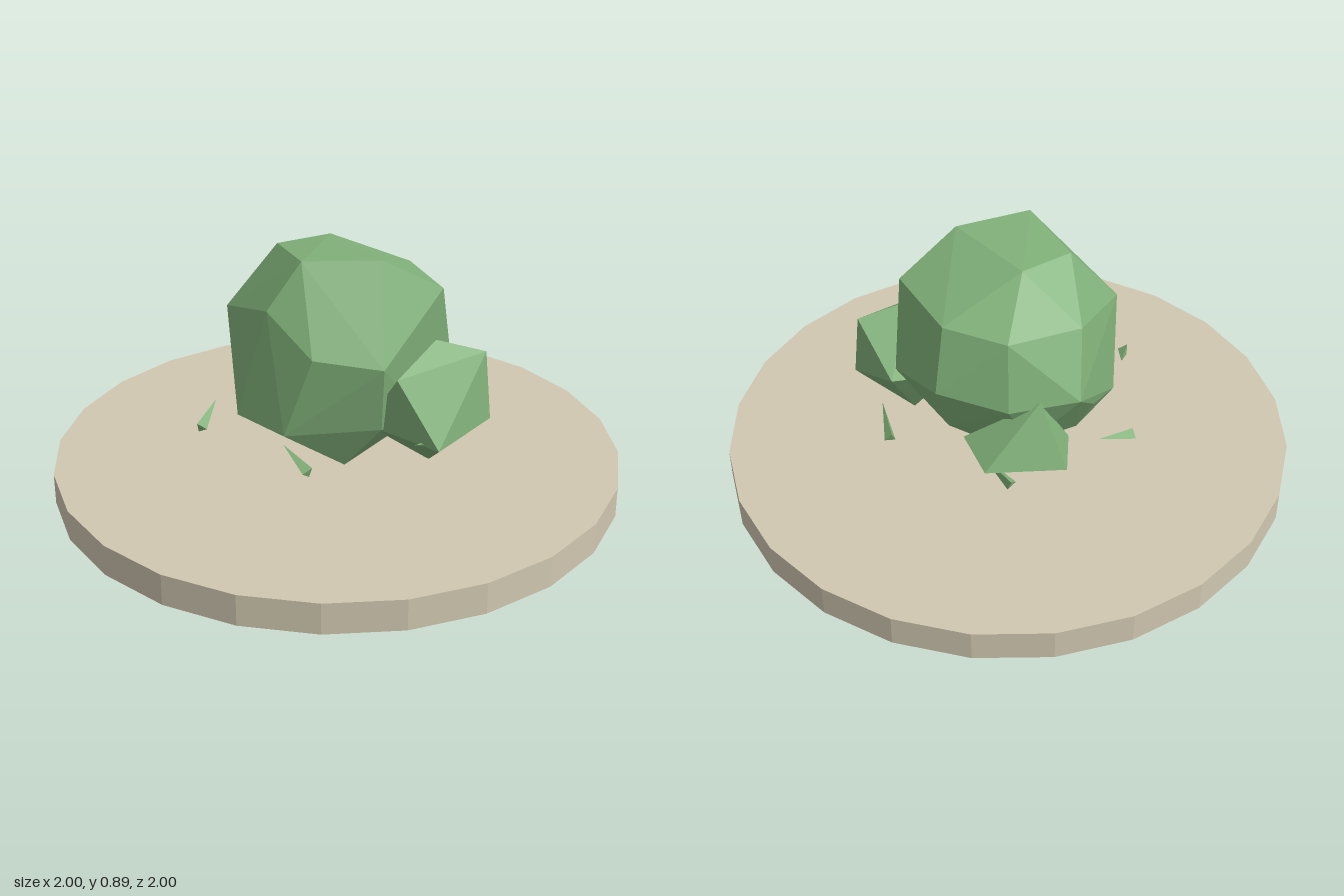
import * as THREE from 'three';
import { ConvexGeometry } from 'three/addons/geometries/ConvexGeometry.js';

const V = (p) => new THREE.Vector3(...p);

export function createModel() {
  const group = new THREE.Group();
  const stone = new THREE.MeshStandardMaterial({ color: 0xd0c7b0, flatShading: true });
  stone.name = 'paleStone';
  const leaf = new THREE.MeshStandardMaterial({ color: 0x80b079, flatShading: true });
  leaf.name = 'leafGreen';

  const add = (name, geometry, material) => {
    const mesh = new THREE.Mesh(geometry, material);
    mesh.name = name;
    group.add(mesh);
    return mesh;
  };
  // faceted lump wrapped around a few corner points
  const lump = (name, points) => add(name, new ConvexGeometry(points.map(V)), leaf);

  // round base slab
  add('base', new THREE.CylinderGeometry(1, 1, 0.11, 24), stone).position.y = 0.055;

  // large central bush
  lump('mainBush', [
    // crown
    [0.07, 0.89, 0.22], [0.22, 0.88, 0], [-0.17, 0.865, 0.12], [-0.11, 0.87, -0.07],
    // upper ring
    [0.02, 0.73, 0.33], [-0.265, 0.65, 0.27], [-0.33, 0.72, -0.04], [-0.2, 0.73, -0.27],
    [0.02, 0.74, -0.33], [0.3, 0.75, -0.21], [0.2, 0.6, 0.29],
    // waist
    [0.35, 0.56, 0.11], [-0.4, 0.51, -0.14], [-0.24, 0.5, -0.32], [0, 0.52, -0.4],
    [0.25, 0.45, -0.31],
    // lower ring
    [-0.09, 0.33, 0.375], [0.11, 0.31, 0.34], [-0.32, 0.315, 0.19], [-0.35, 0.37, 0.02],
    [0.31, 0.32, 0.08], [0.28, 0.3, -0.15], [0.03, 0.3, -0.3], [-0.24, 0.3, -0.2],
    // underside
    [-0.23, 0.155, 0.1], [0.18, 0.155, 0.13], [0, 0.145, 0], [0.12, 0.16, -0.14], [-0.1, 0.16, -0.15],
  ]);

  // smaller bush on the left
  lump('sideBush', [
    [0.45, 0.55, -0.27], [0.37, 0.52, 0.07], [0.51, 0.29, 0.01], [0.48, 0.31, -0.27],
    [0.32, 0.135, -0.14], [0.34, 0.595, -0.14], [0.24, 0.32, 0.09], [0.24, 0.42, -0.345],
    [0.16, 0.35, -0.13],
  ]);

  // smallest bush at the back right
  lump('backBush', [
    [-0.24, 0.335, -0.45], [-0.415, 0.285, -0.23], [-0.31, 0.53, -0.24], [-0.09, 0.36, -0.37],
    [-0.26, 0.23, -0.27], [-0.33, 0.3, -0.1], [-0.12, 0.28, -0.25],
  ]);

  // ring of little three-sided blades: base point, tip point
  const blades = [
    [[-0.48, 0.265, 0.07], [-0.43, 0.315, -0.07]],
    [[-0.195, 0.265, 0.455], [-0.26, 0.315, 0.335]],
    [[0.3, 0.27, 0.4], [0.16, 0.315, 0.385]],
    [[0.44, 0.27, -0.07], [0.455, 0.315, 0.07]],
    [[0.17, 0.27, -0.445], [0.28, 0.315, -0.355]],
    [[-0.3, 0.27, -0.385], [-0.17, 0.315, -0.37]],
  ];
  for (const [from, to] of blades) {
    const a = V(from), b = V(to), axis = b.clone().sub(a);
    const blade = add('grassBlade', new THREE.ConeGeometry(0.022, axis.length(), 3), leaf);
    blade.position.copy(a).add(b).multiplyScalar(0.5);
    blade.quaternion.setFromUnitVectors(new THREE.Vector3(0, 1, 0), axis.normalize());
  }
  return group;
}
